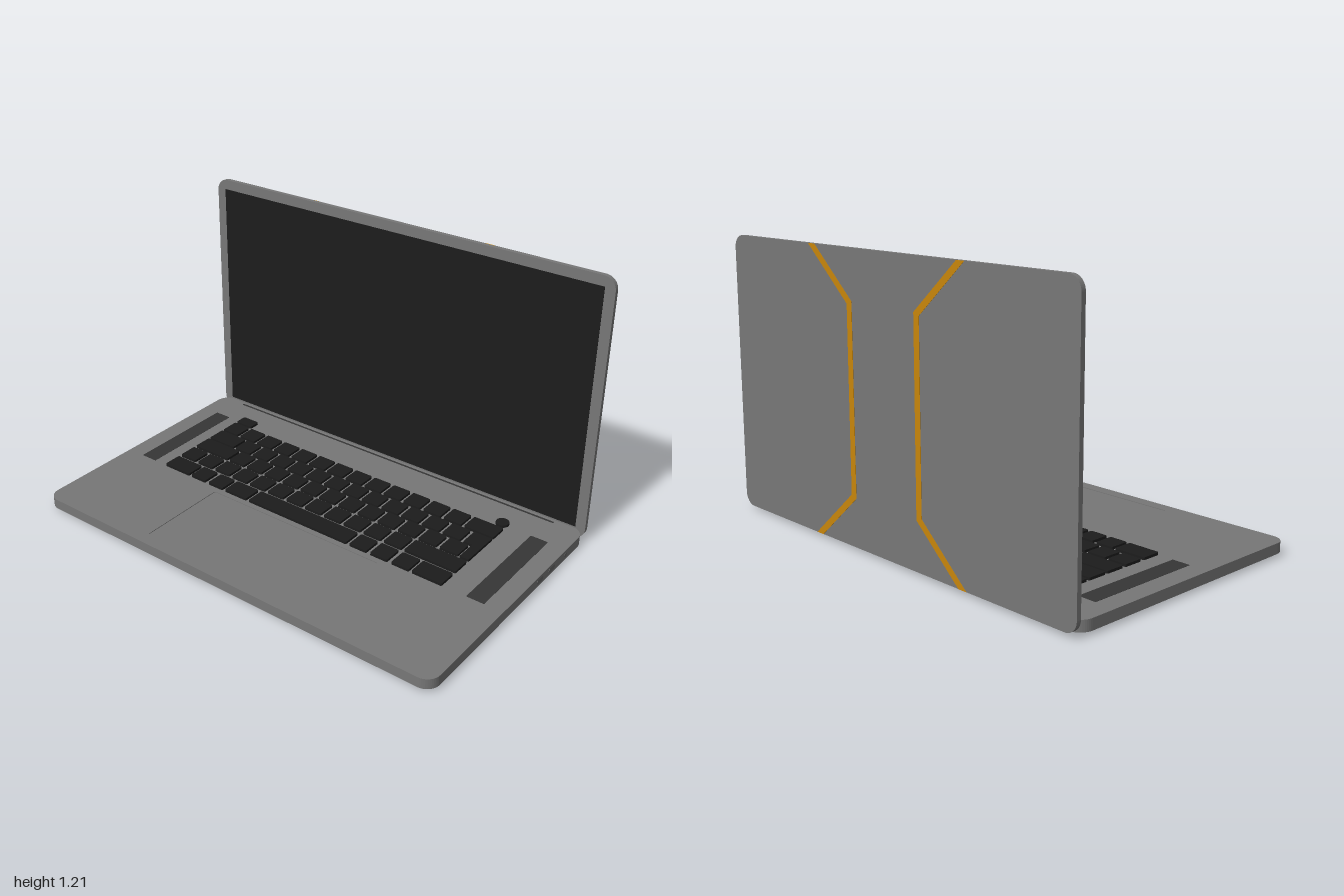
import * as THREE from 'three';

const mat = (color) => new THREE.MeshStandardMaterial({ color });
const shell = mat(0x777777);
const black = mat(0x1c1c1c);
const dark = mat(0x363636);
const portGrey = mat(0x666666);
const orange = mat(0xc8860a);

// Rounded rectangle centred on (cx, cy)
function roundRect(w, h, r, cx = 0, cy = 0, Type = THREE.Shape) {
  const s = new Type();
  const x = w / 2 - r, y = h / 2 - r;
  s.absarc(cx + x, cy + y, r, 0, Math.PI / 2);
  s.absarc(cx - x, cy + y, r, Math.PI / 2, Math.PI);
  s.absarc(cx - x, cy - y, r, Math.PI, Math.PI * 1.5);
  s.absarc(cx + x, cy - y, r, Math.PI * 1.5, Math.PI * 2);
  s.closePath();
  return s;
}

const extrude = (shape, depth, curveSegments = 8) =>
  new THREE.ExtrudeGeometry(shape, { depth, bevelEnabled: false, curveSegments });

function add(parent, name, geometry, material, x = 0, y = 0, z = 0) {
  const mesh = new THREE.Mesh(geometry, material);
  mesh.name = name;
  mesh.position.set(x, y, z);
  parent.add(mesh);
}

// Horizontal plate covering x0..x1, z0..z1 and y0..y1
function plate(parent, name, material, x0, x1, z0, z1, y0, y1, r) {
  const g = extrude(roundRect(x1 - x0, z1 - z0, r), y1 - y0, 6).rotateX(-Math.PI / 2);
  add(parent, name, g, material, (x0 + x1) / 2, y0, (z0 + z1) / 2);
}

function buildBase() {
  const base = new THREE.Group();
  base.name = 'base';
  const top = 0.06;
  plate(base, 'bottomCover', dark, -0.995, 0.995, -0.582, 0.6, 0.0135, 0.016, 0.055);
  plate(base, 'lowerCase', shell, -1, 1, -0.587, 0.605, 0.015, 0.057, 0.06);

  // Upper deck with a shallow recess for the trackpad
  const deck = roundRect(2, 1.192, 0.06);
  deck.holes.push(roundRect(0.88, 0.42, 0.008, 0, -0.331, THREE.Path));
  add(base, 'deck', extrude(deck, 0.003, 6).rotateX(-Math.PI / 2), shell, 0, 0.057, 0.009);

  plate(base, 'hingeSlot', dark, -0.87, 0.865, -0.57, -0.56, 0.058, top + 0.001, 0.004);

  for (const s of [-1, 1]) {
    plate(base, 'speakerGrille', dark, s * 0.875 - 0.04, s * 0.875 + 0.04, -0.42, 0.1, 0.058, top + 0.0008, 0.004);
    for (const z of [-0.39, 0.42])
      plate(base, 'foot', dark, s * 0.878 - 0.022, s * 0.878 + 0.022, z - 0.09, z + 0.09, 0, 0.016, 0.0215);
  }

  // Ports on the left side: two slots and a round socket
  for (const [name, z, w] of [['slotPort', -0.195, 0.052], ['slotPort', -0.295, 0.052], ['roundPort', -0.415, 0.0182]]) {
    const g = extrude(roundRect(w, 0.018, 0.0088), 0.004).rotateY(Math.PI / 2);
    add(base, name, g, portGrey, 0.997, 0.038, z);
  }
  return base;
}

function buildKeyboard() {
  const keys = new THREE.Group();
  keys.name = 'keyboard';
  const left = -0.765, right = 0.725, pitch = 0.1038, width = 0.088;
  const rowZ = [-0.385, -0.287, -0.19, -0.088, 0.016];
  const depth = 0.088;
  const key = (x0, x1, z0, z1 = z0 + depth) =>
    plate(keys, 'key', black, x0, x1, z0, z1, 0.059, 0.071, 0.007);
  const run = (x, count, z) => {
    for (let i = 0; i < count; i++) key(x + i * pitch, x + i * pitch + width, z);
  };

  // Small corner key and round power button
  key(left, left + width, -0.453, -0.395);
  add(keys, 'powerButton', new THREE.CylinderGeometry(0.029, 0.029, 0.012, 32), black, 0.697, 0.065, -0.424);

  // Number row
  run(left, 13, rowZ[0]);
  key(0.583, right, rowZ[0]);
  // Upper letter row
  key(left, -0.618, rowZ[1]);
  run(-0.606, 12, rowZ[1]);
  // Middle letter row
  key(left, -0.57, rowZ[2]);
  run(-0.558, 12, rowZ[2]);
  // Lower letter row
  run(left, 12, rowZ[3]);
  key(0.479, right, rowZ[3]);
  // Space bar row
  for (const [a, b] of [[left, -0.62], [-0.606, -0.523], [-0.503, -0.42], [-0.405, -0.282],
    [-0.267, 0.26], [0.276, 0.362], [0.38, 0.465], [0.485, 0.57], [0.583, right]]) key(a, b, rowZ[4]);

  // L-shaped enter key spanning two rows (shape y is -z)
  const enter = new THREE.Shape([[0.64, 0.287], [0.64, 0.199], [0.682, 0.199], [0.682, 0.1], [right, 0.1], [right, 0.287]]
    .map(([x, y]) => new THREE.Vector2(x, y)));
  add(keys, 'enterKey', extrude(enter, 0.012).rotateX(-Math.PI / 2), black, 0, 0.059, 0);
  return keys;
}

function buildLid() {
  const lid = new THREE.Group();
  lid.name = 'lid';
  add(lid, 'lidShell', extrude(roundRect(2, 1.19, 0.055), 0.02), shell, 0, 0.61, -0.605);
  add(lid, 'screen', new THREE.BoxGeometry(1.91, 1.092, 0.003), black, 0, 0.614, -0.585);

  // Angled stripes on the back, one per side
  const outline = [[0.46, 1.205], [0.215, 0.99], [0.215, 0.23], [0.46, 0.015],
    [0.418, 0.015], [0.185, 0.219], [0.185, 1.001], [0.418, 1.205]];
  for (const s of [-1, 1]) {
    const shape = new THREE.Shape(outline.map(([x, y]) => new THREE.Vector2(s * x, y)));
    add(lid, 'backStripe', extrude(shape, 0.003), orange, 0, 0, -0.6062);
  }
  return lid;
}

export function createModel() {
  const model = new THREE.Group();
  model.name = 'laptop';
  model.add(buildBase(), buildKeyboard(), buildLid());
  return model;
}
